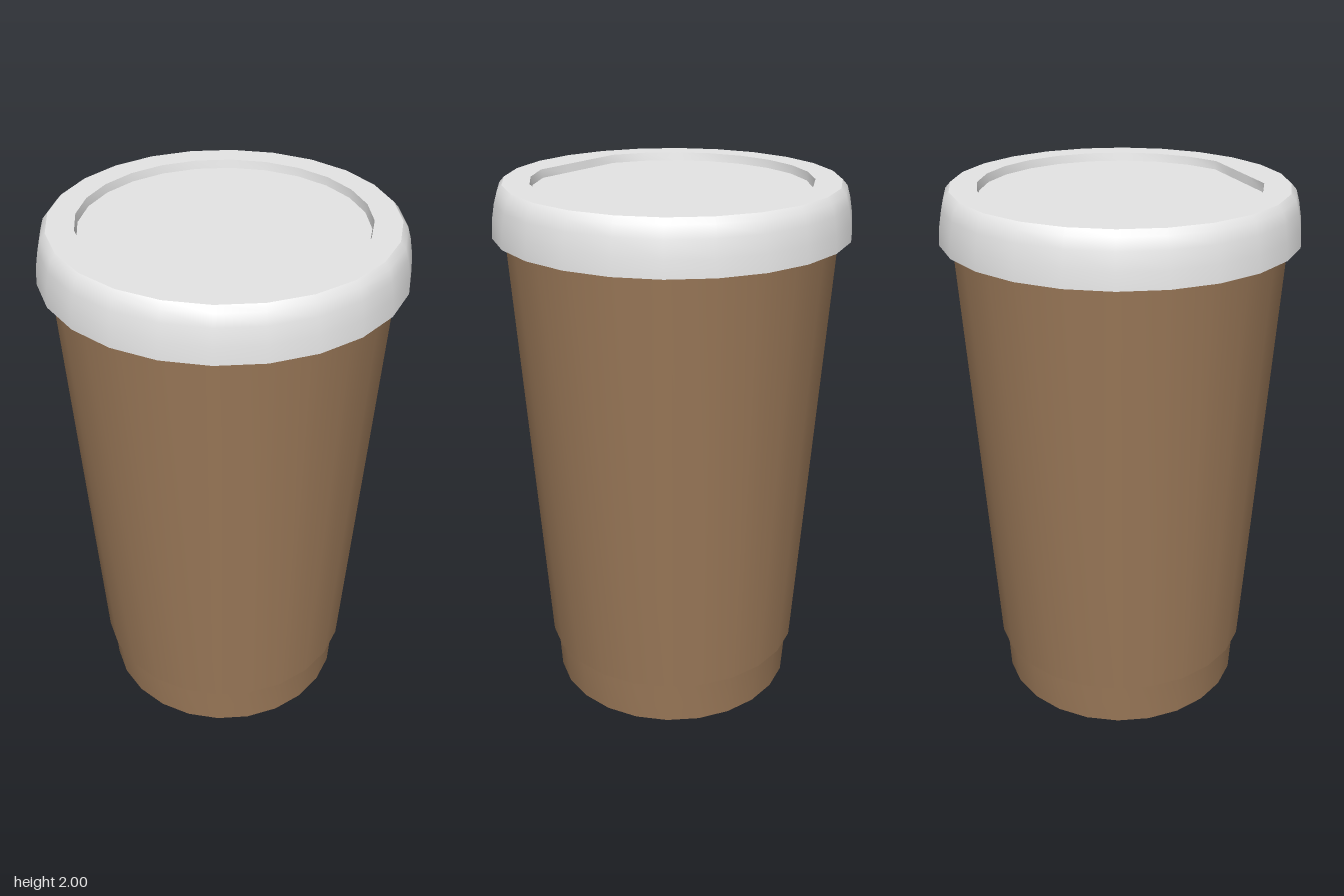
import * as THREE from 'three';
import { toCreasedNormals } from 'three/addons/utils/BufferGeometryUtils.js';

const SIDES = 24;

// Revolves [radius, height] pairs around the y axis
function revolve(profile) {
  return new THREE.LatheGeometry(profile.map(([r, y]) => new THREE.Vector2(r, y)), SIDES);
}

export function createModel() {
  const cardboard = new THREE.MeshStandardMaterial({ color: 0x9a7858, side: THREE.DoubleSide });
  cardboard.name = 'brown cardboard';
  const plastic = new THREE.MeshStandardMaterial({ color: 0xe6e6e6, side: THREE.DoubleSide });
  plastic.name = 'white plastic';

  const group = new THREE.Group();
  group.name = 'takeawayCup';
  const add = (name, geometry, material) => {
    const mesh = new THREE.Mesh(toCreasedNormals(geometry, 0.7), material);
    mesh.name = name;
    group.add(mesh);
  };

  // Tapered wall, open below, stepping out above the foot
  add('cupWall', revolve([[0.47, 0], [0.48, 0.18], [0.497, 0.18], [0.595, 1.81]]), cardboard);

  // Lid: neck, underside, rounded skirt, flat rim and sunken top
  const lid = revolve([
    [0.59, 1.81], [0.6, 1.81], [0.6, 1.822], [0.64, 1.82], [0.636, 1.88], [0.625, 1.94],
    [0.613, 1.98], [0.595, 2], [0.5, 2], [0.495, 1.97], [0, 1.97],
  ]);

  // Cut the sunken top straight across the sipping side
  const cut = new THREE.Vector2(-Math.cos(Math.PI * 7 / 24), Math.sin(Math.PI * 7 / 24));
  const pos = lid.attributes.position;
  for (let i = 0; i < pos.count; i++) {
    const x = pos.getX(i), z = pos.getZ(i), r = Math.hypot(x, z);
    if (r > 0.51) continue;
    const reach = x * cut.x + z * cut.y;
    const limit = r * Math.cos(Math.PI / 8);
    if (reach > limit + 1e-4) {
      pos.setX(i, x * limit / reach);
      pos.setZ(i, z * limit / reach);
    }
  }
  add('lid', lid, plastic);

  return group;
}
